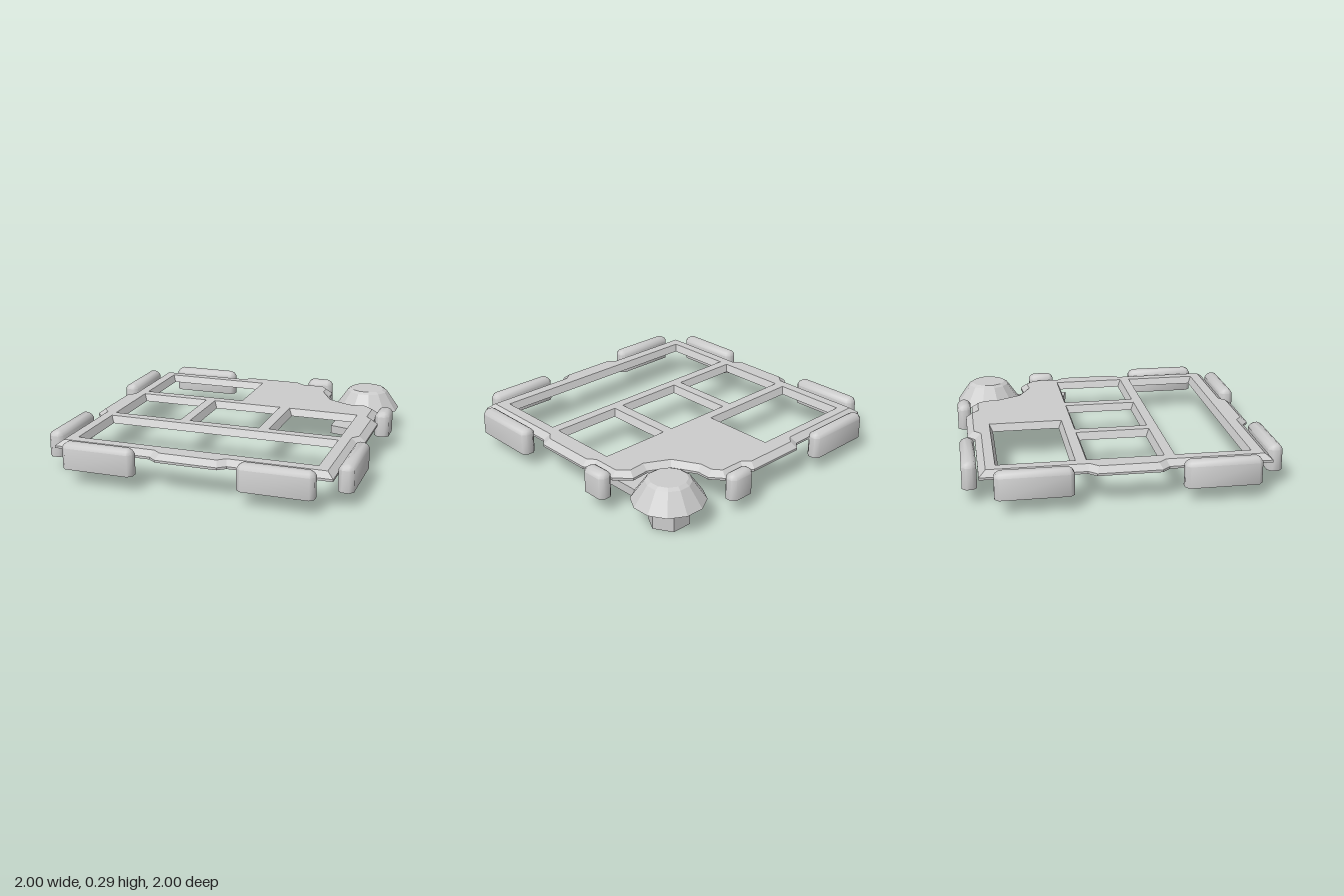
import * as THREE from 'three';
import { toCreasedNormals } from 'three/addons/utils/BufferGeometryUtils.js';

const flat = new THREE.MeshStandardMaterial({ color: 0xcccccc, flatShading: true, side: THREE.DoubleSide });
const smooth = new THREE.MeshStandardMaterial({ color: 0xcccccc, side: THREE.DoubleSide });

// Plan points are [x, back]; back is -z. Loops run counter-clockwise seen from above.
const rect = (x0, x1, b0, b1) => [[x0, b0], [x1, b0], [x1, b1], [x0, b1]];

// Moves every edge of a loop inward by d, keeping mitred corners.
function inset(loop, d) {
  const n = loop.length;
  return loop.map((p, i) => {
    const a = loop[(i + n - 1) % n], b = loop[(i + 1) % n];
    const l1 = Math.hypot(p[0] - a[0], p[1] - a[1]), l2 = Math.hypot(b[0] - p[0], b[1] - p[1]);
    const n1 = [-(p[1] - a[1]) / l1, (p[0] - a[0]) / l1];
    const n2 = [-(b[1] - p[1]) / l2, (b[0] - p[0]) / l2];
    const k = d / (1 + n1[0] * n2[0] + n1[1] * n2[1]);
    return [p[0] + (n1[0] + n2[0]) * k, p[1] + (n1[1] + n2[1]) * k];
  });
}

// Skins a stack of loops, each given as [loop, height]; optionally caps the last.
function loft(rings, cap = false) {
  const pos = [];
  const put = ([loop, y], i) => { const p = loop[i % loop.length]; pos.push(p[0], y, -p[1]); };
  for (let r = 0; r < rings.length - 1; r++) {
    const a = rings[r], b = rings[r + 1];
    for (let i = 0; i < a[0].length; i++) {
      put(a, i); put(a, i + 1); put(b, i + 1);
      put(a, i); put(b, i + 1); put(b, i);
    }
  }
  if (cap) {
    const top = rings[rings.length - 1];
    for (let i = 1; i < top[0].length - 1; i++) { put(top, 0); put(top, i); put(top, i + 1); }
  }
  const g = new THREE.BufferGeometry();
  g.setAttribute('position', new THREE.Float32BufferAttribute(pos, 3));
  g.computeVertexNormals();
  return g;
}

const toPath = (loop) => loop.map(([x, b]) => new THREE.Vector2(x, b));

export function createModel() {
  const model = new THREE.Group();
  const add = (parent, name, geo, mat = flat) => {
    const m = new THREE.Mesh(geo, mat);
    m.name = name;
    parent.add(m);
    return m;
  };

  // Frame plate: sloped rim, windowed top, sloped window edges
  const frame = new THREE.Group();
  frame.name = 'frame';
  model.add(frame);
  const TOP = 0.245, LOW = 0.197;
  const outline = [
    [-0.9, -0.9], [-0.25, -0.9], [-0.2, -0.94], [0.2, -0.94], [0.25, -0.9],
    [0.9, -0.9], [0.9, -0.25], [0.94, -0.2], [0.94, 0.2], [0.9, 0.25],
    [0.9, 0.43], [0.81, 0.52], [0.69, 0.51], [0.555, 0.58], [0.475, 0.73], [0.475, 0.82], [0.41, 0.9],
    [0.25, 0.9], [0.2, 0.945], [-0.2, 0.945], [-0.25, 0.9],
    [-0.9, 0.9], [-0.9, 0.25], [-0.945, 0.2], [-0.945, -0.2], [-0.9, -0.25],
  ];
  const windows = [
    rect(-0.77, -0.085, 0.335, 0.775),
    rect(-0.77, -0.335, -0.215, 0.225),
    rect(-0.225, 0.215, -0.215, 0.225),
    rect(0.33, 0.765, -0.215, 0.225),
    rect(-0.77, 0.765, -0.765, -0.325),
  ];
  const topLoop = inset(outline, 0.043);
  const shape = new THREE.Shape(toPath(topLoop));
  for (const w of windows) {
    const wide = inset(w, -0.022);
    shape.holes.push(new THREE.Path(toPath(wide).reverse()));
    add(frame, 'windowEdge', loft([[wide, TOP], [w, LOW]]));
  }
  add(frame, 'frameTop', new THREE.ShapeGeometry(shape).rotateX(-Math.PI / 2).translate(0, TOP, 0));
  add(frame, 'frameRim', loft([[outline, LOW], [outline, 0.212], [topLoop, TOP]]));

  // Bumper pads around the edge: hollow, open below, softened corners
  const pads = new THREE.Group();
  pads.name = 'bumperPads';
  model.add(pads);
  const pad = (x0, x1, b0, b1) => {
    const c = 0.026;
    const loop = [
      [x0 + c, b0], [x1 - c, b0], [x1, b0 + c], [x1, b1 - c],
      [x1 - c, b1], [x0 + c, b1], [x0, b1 - c], [x0, b0 + c],
    ];
    const g = loft([[loop, 0.1], [loop, 0.238], [inset(loop, 0.012), 0.258], [inset(loop, 0.03), 0.27]], true);
    add(pads, 'bumperPad', toCreasedNormals(g, 0.85), smooth);
  };
  for (const s of [-1, 1]) {
    const [x0, x1] = s < 0 ? [-0.81, -0.335] : [0.335, 0.81];
    pad(x0, x1, -0.995, -0.9);                                   // front
    pad(s < 0 ? -1 : 0.903, s < 0 ? -0.903 : 1, -0.81, -0.33);   // sides, front half
  }
  pad(-0.81, -0.335, 0.908, 1);
  pad(0.26, 0.44, 0.908, 1);
  pad(-1, -0.903, 0.34, 0.815);
  pad(0.903, 1, 0.265, 0.445);

  // Corner knob: faceted cap on a hollow hexagonal post
  const knob = new THREE.Group();
  knob.name = 'knob';
  knob.position.set(0.748, 0, -0.763);
  model.add(knob);
  const profile = [[0.23, 0.155], [0.142, 0.28], [0.118, 0.295], [0, 0.295]].map(([r, y]) => new THREE.Vector2(r, y));
  add(knob, 'knobCap', new THREE.LatheGeometry(profile, 12, Math.PI / 12));
  const post = add(knob, 'knobPost', new THREE.CylinderGeometry(0.131, 0.131, 0.17, 6, 1, true));
  post.position.y = 0.085;
  post.rotation.y = Math.PI / 6;

  // Arm under the plate: channel open below, slanted at its inner end
  const arm = [[0.61, 0.235], [0.83, 0.18], [0.83, 0.68], [0.61, 0.68]];
  add(model, 'knobArm', loft([[arm, 0.1], [arm, 0.155]], true));

  return model;
}
